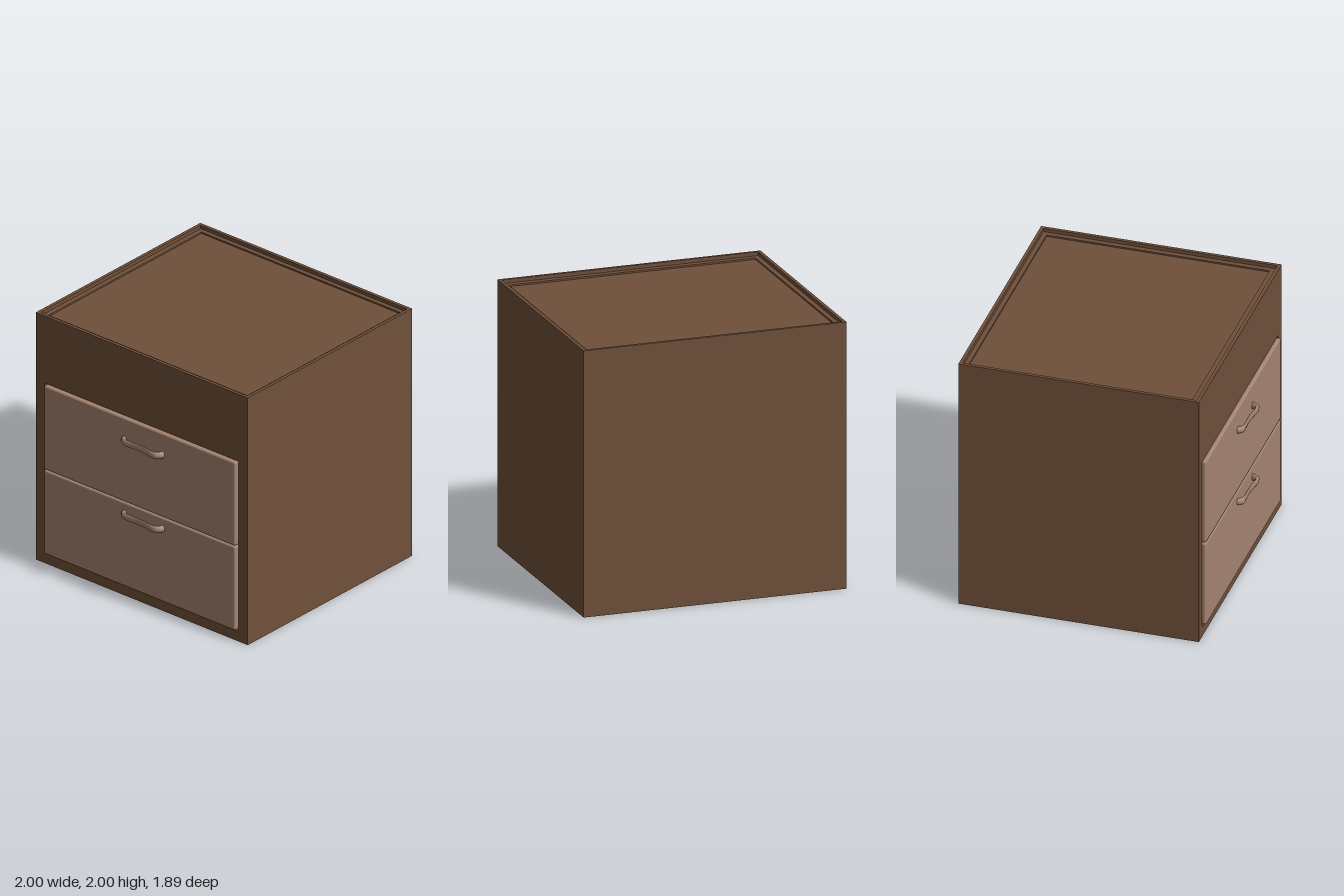
import * as THREE from 'three';
import { RoundedBoxGeometry } from 'three/addons/geometries/RoundedBoxGeometry.js';

const wood = new THREE.MeshStandardMaterial({ color: 0x6f503a });
const lightWood = new THREE.MeshStandardMaterial({ color: 0xa68472 });

const BACK = -0.945, FRONT = 0.855, WALL = 0.025;

function add(parent, name, geometry, material) {
  const mesh = new THREE.Mesh(geometry, material);
  mesh.name = name;
  parent.add(mesh);
  return mesh;
}

// Box given by its two extreme corners
function box(parent, name, [x0, y0, z0], [x1, y1, z1]) {
  const geometry = new THREE.BoxGeometry(x1 - x0, y1 - y0, z1 - z0);
  geometry.translate((x0 + x1) / 2, (y0 + y1) / 2, (z0 + z1) / 2);
  return add(parent, name, geometry, wood);
}

function rectangle(target, x0, y0, x1, y1) {
  target.moveTo(x0, y0);
  target.lineTo(x1, y0);
  target.lineTo(x1, y1);
  target.lineTo(x0, y1);
  target.closePath();
  return target;
}

// Rectangular plate with a rectangular opening, extruded along z
function frame(outer, inner, depth) {
  const shape = rectangle(new THREE.Shape(), ...outer);
  shape.holes.push(rectangle(new THREE.Path(), ...inner));
  return new THREE.ExtrudeGeometry(shape, { depth, bevelEnabled: false });
}

// Wavy pull lofted through oval sections: [x, z, direction angle, half thickness]
function handleGeometry() {
  const stations = [
    [-0.142, 0.865, 1.57, 0.022], [-0.139, 0.89, 1.35, 0.022], [-0.122, 0.908, 0.75, 0.019],
    [-0.095, 0.915, 0.05, 0.012], [-0.05, 0.914, -0.05, 0.007], [0.01, 0.912, 0, 0.005],
    [0.07, 0.915, 0.12, 0.006], [0.12, 0.922, 0.15, 0.009], [0.165, 0.927, 0, 0.014],
    [0.196, 0.92, -0.6, 0.019], [0.213, 0.897, -1.25, 0.021], [0.22, 0.865, -1.57, 0.021],
  ];
  const sides = 10, positions = [], indices = [];
  stations.forEach(([x, z, angle, half], i) => {
    for (let j = 0; j < sides; j++) {
      const t = (j / sides) * Math.PI * 2;
      const offset = Math.cos(t) * half;
      positions.push(x - Math.sin(angle) * offset, Math.sin(t) * 0.027, z + Math.cos(angle) * offset);
      if (i === stations.length - 1) continue;
      const a = i * sides + j, b = i * sides + (j + 1) % sides;
      indices.push(a, a + sides, b, b, a + sides, b + sides);
    }
  });
  const geometry = new THREE.BufferGeometry();
  geometry.setAttribute('position', new THREE.Float32BufferAttribute(positions, 3));
  geometry.setIndex(indices);
  geometry.computeVertexNormals();
  return geometry;
}

export function createModel() {
  const model = new THREE.Group();
  model.name = 'drawerCabinet';

  // Outer walls, rising above the sunken top
  const cabinet = new THREE.Group();
  cabinet.name = 'cabinet';
  model.add(cabinet);
  for (const [name, side] of [['leftWall', 1], ['rightWall', -1]]) {
    const x0 = side > 0 ? 1 - WALL : -1;
    box(cabinet, name, [x0, 0, BACK + WALL], [x0 + WALL, 2, FRONT - WALL]);
  }
  box(cabinet, 'backWall', [-1, 0, BACK], [1, 2, BACK + WALL]);
  const front = add(cabinet, 'frontFrame',
    frame([-1, 0, 1, 2], [-0.92, 0.08, 0.915, 1.457], WALL), wood);
  front.position.z = FRONT - WALL;

  // Bottom, inner core and stepped top
  const inX = 1 - WALL, z0 = BACK + WALL, z1 = FRONT - WALL;
  box(cabinet, 'bottom', [-inX, 0, z0], [inX, 0.06, z1]);
  box(cabinet, 'core', [-inX, 0.06, z0], [inX, 1.9, 0.79]);
  box(cabinet, 'topPanel', [-inX, 1.9, z0], [inX, 1.96, z1]);
  const ledge = add(cabinet, 'topLedge',
    frame([-inX, -z1, inX, -z0], [-0.937, -0.785, 0.937, 0.885], 0.012), wood);
  ledge.rotation.x = -Math.PI / 2;
  ledge.position.y = 1.96;

  // Two drawers, each with a pull
  const pull = handleGeometry();
  for (const [name, y0, y1, handleY] of [
    ['lowerDrawer', 0.09, 0.768, 0.682],
    ['upperDrawer', 0.774, 1.451, 1.28],
  ]) {
    const drawer = new THREE.Group();
    drawer.name = name;
    model.add(drawer);
    const panel = add(drawer, name + 'Front',
      new RoundedBoxGeometry(1.806, y1 - y0, 0.1, 3, 0.014), lightWood);
    panel.position.set(-0.002, (y0 + y1) / 2, 0.83);
    const handle = add(drawer, name + 'Handle', pull, lightWood);
    handle.position.y = handleY;
  }
  return model;
}
